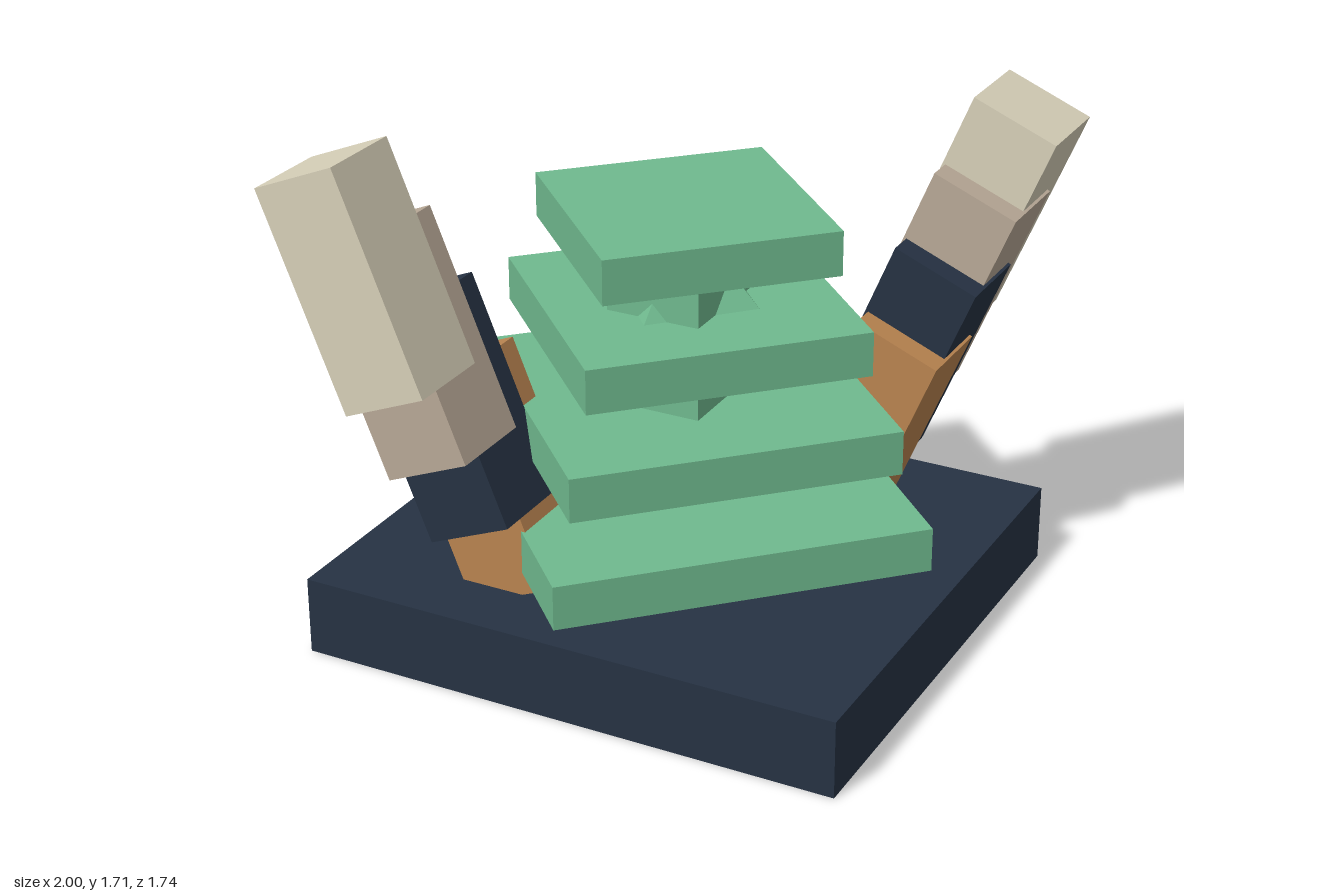
import * as THREE from 'three';

const material = (name, color) => {
  const m = new THREE.MeshStandardMaterial({ color });
  m.name = name;
  return m;
};

export function createModel() {
  const navy = material('navy', 0x263243);
  const green = material('green', 0x6fb98e);
  const orange = material('orange', 0xb98450);
  const tan = material('tan', 0xb8a896);
  const cream = material('cream', 0xd6cfb8);

  const model = new THREE.Group();
  model.name = 'tieredMonument';

  const add = (parent, name, geometry, mat, x, y, z) => {
    const mesh = new THREE.Mesh(geometry, mat);
    mesh.name = name;
    mesh.position.set(x, y, z);
    parent.add(mesh);
    return mesh;
  };

  // Rectangular base
  add(model, 'base', new THREE.BoxGeometry(1.85, 0.262, 1.67), navy, 0, 0.131, 0);

  // Four floating square slabs turned by 45 degrees, shrinking upwards
  const tiers = new THREE.Group();
  tiers.name = 'tiers';
  model.add(tiers);
  for (let i = 0; i < 4; i++) {
    const side = (0.87 - i * 0.11) * Math.SQRT2;
    const slab = add(tiers, `tier${i + 1}`, new THREE.BoxGeometry(side, 0.148, side), green, 0, 0.415 + i * 0.314, 0);
    slab.rotation.y = Math.PI / 4;
  }

  // Core between the upper slabs: a column crossed by an octahedral crystal
  add(model, 'coreColumn', new THREE.BoxGeometry(0.32, 0.56, 0.45), green, 0, 1.04, 0);
  const crystal = add(model, 'coreCrystal', new THREE.OctahedronGeometry(0.355), green, 0, 1.03, 0);
  crystal.scale.set(0.97, 1, 1.04);

  // Two leaning pillars of overlapping blocks, each a half turn from the other
  const colors = [orange, navy, tan, cream];
  for (const side of ['Left', 'Right']) {
    const pillar = new THREE.Group();
    pillar.name = `pillar${side}`;
    colors.forEach((mat, i) => {
      const block = add(pillar, `pillarBlock${i + 1}`, new THREE.BoxGeometry(0.302, 0.75, 0.302), mat,
        0.455 + i * 0.0875, 0.59 + i * 0.2385, -0.4545 - i * 0.0885);
      block.rotation.z = THREE.MathUtils.degToRad(-22.4);
    });
    if (side === 'Right') pillar.rotation.y = Math.PI;
    model.add(pillar);
  }

  return model;
}
